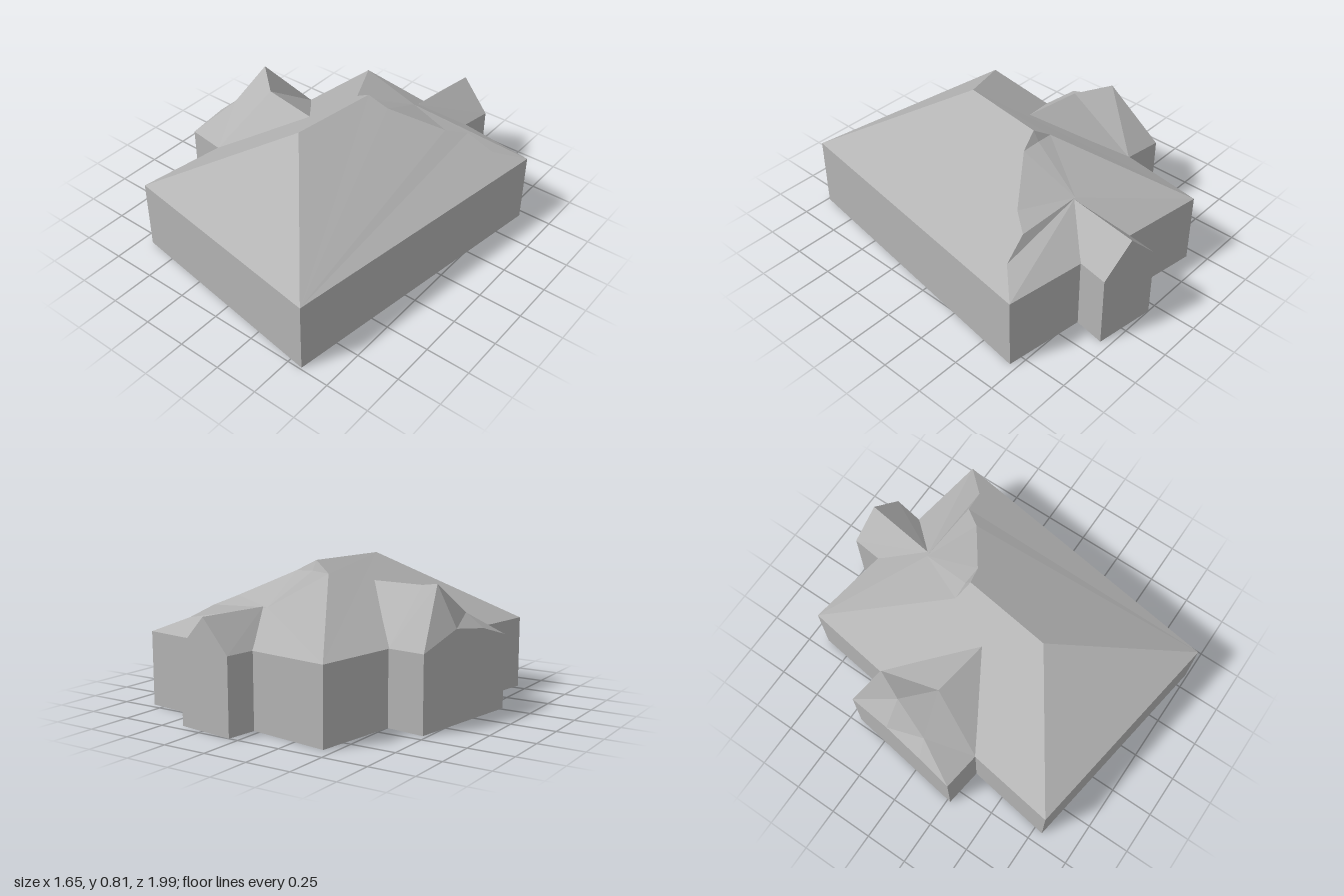
import * as THREE from 'three';

const EAVE = 0.42;

// Plan corners as [x, height, z]
const backLeft = [-0.44, EAVE, -0.90], backRight = [0.825, EAVE, -0.71];
const frontRight = [0.58, EAVE, 0.99], frontLeft = [-0.685, EAVE, 0.80];
const wingBackIn = [-0.505, EAVE, -0.41], wingBack = [-0.725, EAVE, -0.44];
const wingFront = [-0.83, EAVE, 0.27], wingFrontIn = [-0.61, EAVE, 0.30];
const porchLeftIn = [0.035, EAVE, -0.825], porchLeft = [0.055, EAVE, -1.0];
const porchRight = [0.40, EAVE, -0.95], porchRightIn = [0.37, EAVE, -0.775];

// Flat facets, each fanned from its first corner and turned away from an inside point
function facets(name, material, inside, faces) {
  const centre = new THREE.Vector3(...inside);
  const positions = [];
  for (const face of faces) {
    const p = face.map((c) => new THREE.Vector3(...c));
    for (let i = 1; i < p.length - 1; i++) {
      const tri = new THREE.Triangle(p[0], p[i], p[i + 1]);
      const normal = tri.getNormal(new THREE.Vector3());
      const outward = normal.dot(p[0].clone().sub(centre)) > 0;
      const order = outward ? [p[0], p[i], p[i + 1]] : [p[0], p[i + 1], p[i]];
      order.forEach((v) => positions.push(v.x, v.y, v.z));
    }
  }
  const geometry = new THREE.BufferGeometry();
  geometry.setAttribute('position', new THREE.Float32BufferAttribute(positions, 3));
  geometry.computeVertexNormals();
  const mesh = new THREE.Mesh(geometry, material);
  mesh.name = name;
  return mesh;
}

export function createModel() {
  const group = new THREE.Group();
  group.name = 'house';
  const grey = new THREE.MeshStandardMaterial({ color: 0xb4b4b4 });
  grey.name = 'plain grey';

  // Walls: one footprint including the side wing and back porch
  const outline = [frontLeft, frontRight, backRight, porchRightIn, porchRight, porchLeft,
    porchLeftIn, backLeft, wingBackIn, wingBack, wingFront, wingFrontIn];
  const shape = new THREE.Shape(outline.map(([x, , z]) => new THREE.Vector2(x, -z)));
  const wallGeometry = new THREE.ExtrudeGeometry(shape, { depth: EAVE - 0.005, bevelEnabled: false });
  wallGeometry.rotateX(-Math.PI / 2).translate(0, 0.005, 0);
  const walls = new THREE.Mesh(wallGeometry, grey);
  walls.name = 'walls';
  group.add(walls);

  // Main hipped roof, with worn hips at the back
  const ridgeFront = [0.01, 0.81, 0.31], ridgeBack = [0.08, 0.81, -0.20];
  const hipLeft = [-0.02, 0.745, -0.23], hipRight = [0.19, 0.75, -0.23];
  const hipDip = [0.08, 0.755, -0.235];
  const hipMid = [0.45, 0.615, -0.42], hipLow = [0.53, 0.57, -0.53], hipEnd = [0.68, 0.49, -0.56];
  const backSlope = [0.15, 0.59, -0.55];
  group.add(facets('mainRoof', grey, [0.05, 0.42, 0], [
    [frontLeft, frontRight, ridgeFront],
    [ridgeFront, frontLeft, backLeft, hipLeft, ridgeBack],
    [frontRight, backRight, hipEnd, hipLow, hipMid, hipRight, ridgeBack, ridgeFront],
    [ridgeBack, hipLeft, hipDip],
    [ridgeBack, hipDip, hipRight],
    [backSlope, backLeft, hipLeft, hipDip, hipRight, hipMid, hipLow],
    [backSlope, hipLow, hipEnd, backRight, backLeft],
  ]));

  // Side wing roof with its uneven raised end
  const wingInner = [-0.15, 0.69, 0.03], wingRidge = [-0.48, 0.695, -0.02];
  const wingPeak = [-0.645, 0.73, -0.16], wingFold = [-0.71, 0.56, 0.04];
  const ledgeBack = [-0.765, 0.51, -0.17], ledgeFront = [-0.80, 0.48, 0.07];
  group.add(facets('wingRoof', grey, [-0.5, 0.42, -0.05], [
    [wingBackIn, wingInner, wingRidge, wingPeak, wingBack],
    [wingBack, wingPeak, ledgeBack],
    [ledgeBack, wingPeak, wingFold],
    [ledgeBack, wingFold, ledgeFront],
    [ledgeFront, wingFold, wingFront],
    [wingBack, ledgeBack, ledgeFront, wingFront],
    [wingFold, wingPeak, wingRidge],
    [wingFrontIn, wingFront, wingFold, wingRidge, wingInner],
  ]));

  // Gabled back porch roof
  const gable = [0.2275, 0.595, -0.975], porchInner = [0.17, 0.595, -0.56];
  group.add(facets('porchRoof', grey, [0.21, 0.42, -0.85], [
    [porchLeft, gable, porchInner, porchLeftIn],
    [porchRight, porchRightIn, porchInner, gable],
    [porchLeft, porchRight, gable],
  ]));

  return group;
}
